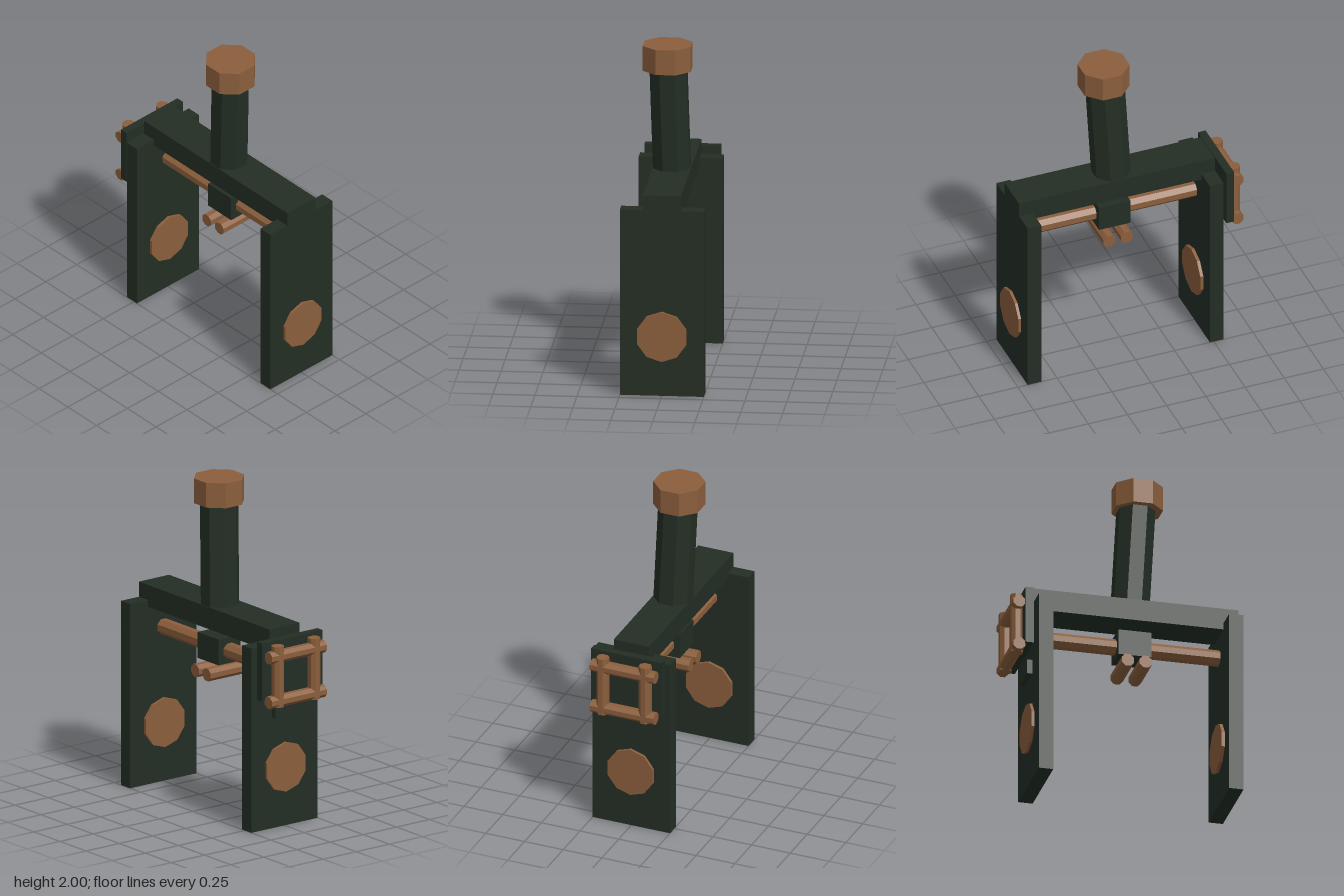
import * as THREE from 'three';

export function createModel() {
  const model = new THREE.Group();
  const green = new THREE.MeshStandardMaterial({ color: 0x232e24, flatShading: true });
  green.name = 'dark green';
  const brown = new THREE.MeshStandardMaterial({ color: 0x8b5e3c, flatShading: true });
  brown.name = 'copper brown';

  function add(name, geometry, material, x, y, z) {
    const mesh = new THREE.Mesh(geometry, material);
    mesh.name = name;
    mesh.position.set(x, y, z);
    model.add(mesh);
    return mesh;
  }

  // Box given by its extents: half width in x, then y and z ranges
  function box(name, halfX, y0, y1, z0, z1) {
    return add(name, new THREE.BoxGeometry(halfX * 2, y1 - y0, z1 - z0), green, 0, (y0 + y1) / 2, (z0 + z1) / 2);
  }

  // Octagonal bar with flats facing the axes; apothem is half its thickness
  function octagon(apothem, length, axis = 'y') {
    const g = new THREE.CylinderGeometry(1, 1, length, 8, 1, false, Math.PI / 8);
    const r = apothem / Math.cos(Math.PI / 8);
    g.scale(r, 1, r);
    if (axis === 'x') g.rotateZ(Math.PI / 2);
    if (axis === 'z') g.rotateX(Math.PI / 2);
    return g;
  }

  // Legs and top beam
  box('frontLeg', 0.25, 0, 1.14, 0.6, 0.688);
  box('backLeg', 0.25, 0, 1.14, -0.563, -0.475);
  box('topBeam', 0.114, 1.098, 1.233, -0.562, 0.69);

  // Ten-sided discs through the legs
  for (const [name, z] of [['frontDisc', 0.643], ['backDisc', -0.518]]) {
    const disc = new THREE.CylinderGeometry(0.153, 0.153, 0.125, 10);
    disc.rotateX(Math.PI / 2);
    add(name, disc, brown, 0, 0.366, z);
  }

  // Leaning column, sheared so its ends stay level
  const column = octagon(0.109, 0.7);
  const p = column.attributes.position;
  for (let i = 0; i < p.count; i++) {
    const t = p.getY(i) + 0.35;
    p.setX(i, p.getX(i) - 0.028 * t);
    p.setZ(i, p.getZ(i) + 0.05 * t);
  }
  column.computeVertexNormals();
  add('column', column, green, 0.001, 1.52, 0.054);
  add('columnCap', octagon(0.143, 0.153), brown, -0.023, 1.9235, 0.095);

  // Rod between the legs, with its block and two short cross rods
  add('longRod', octagon(0.045, 1.1, 'z'), brown, 0, 0.958, 0.063);
  box('rodBlock', 0.083, 0.88, 1.04, -0.035, 0.166);
  for (const z of [0.01, 0.12]) {
    add('crossRod', octagon(0.038, 0.274, 'x'), brown, 0, 0.822, z);
  }

  // Rear panel with a frame of four crossing bars
  box('rearLedge', 0.093, 0.685, 0.775, -0.595, -0.555);
  box('rearPanel', 0.228, 0.825, 1.185, -0.638, -0.589);
  for (const s of [-1, 1]) {
    add('frameUpright', octagon(0.036, 0.376), brown, s * 0.137, 0.976, -0.671);
    add('frameCrossbar', octagon(0.036, 0.414, 'x'), brown, 0, 0.96 + s * 0.138, -0.671);
  }

  return model;
}
